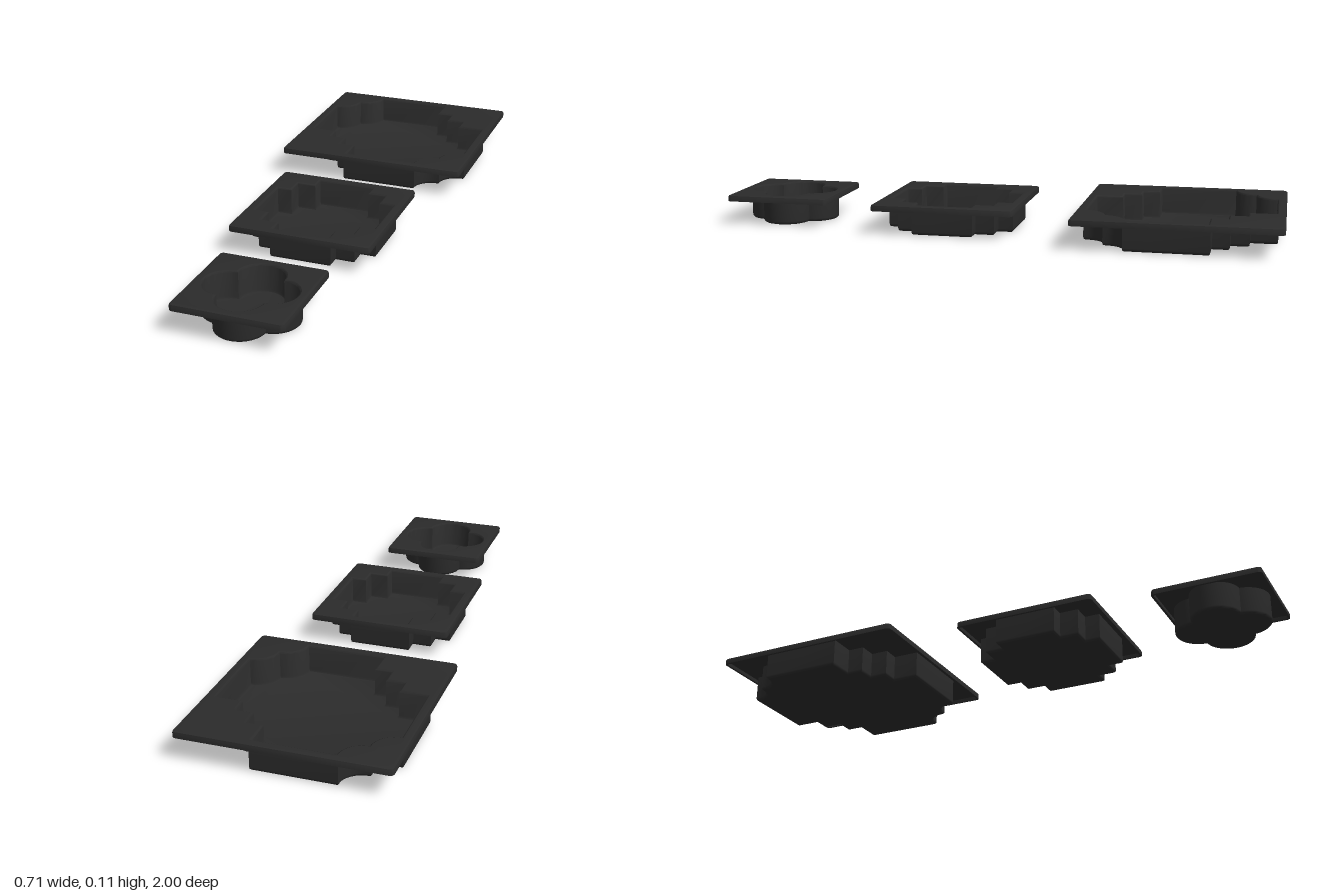
import * as THREE from 'three';
import { toCreasedNormals } from 'three/addons/utils/BufferGeometryUtils.js';

const V = (x, y) => new THREE.Vector2(x, y);
const TOP = 0.107, UNDER = 0.098, LIP = 0.085, WALL = 0.008;

// Outlines are counter-clockwise in plan, with plan y = -z
const arc = (cx, cy, r, a0, a1, n) => Array.from({ length: n + 1 }, (_, i) => {
  const a = a0 + (a1 - a0) * i / n;
  return V(cx + r * Math.cos(a), cy + r * Math.sin(a));
});

// Repeat part of an outline n times around the centre
function repeat(points, n) {
  const out = [];
  for (let k = 0; k < n; k++) {
    for (const p of points) out.push(p.clone().rotateAround(V(0, 0), k * Math.PI * 2 / n));
  }
  return out;
}

// Mitred offset, positive outwards
function offset(loop, d) {
  const n = loop.length;
  const normal = (a, b) => V(b.y - a.y, a.x - b.x).normalize();
  return loop.map((p, i) => {
    const n1 = normal(loop[(i + n - 1) % n], p), n2 = normal(p, loop[(i + 1) % n]);
    return p.clone().add(n1.clone().add(n2).multiplyScalar(d / (1 + n1.dot(n2))));
  });
}

// Skin swept round an outline; profile rows are [offset, height]
function skin(out, loop, profile) {
  const rings = profile.map(([d, y]) => offset(loop, d).map(p => [p.x, y, -p.y]));
  for (let r = 0; r + 1 < rings.length; r++) {
    for (let i = 0; i < loop.length; i++) {
      const j = (i + 1) % loop.length;
      const a = rings[r][i], b = rings[r][j], c = rings[r + 1][j], d = rings[r + 1][i];
      out.push(...a, ...b, ...c, ...a, ...c, ...d);
    }
  }
}

// Flat cap, optionally with a hole
function cap(out, loop, hole, y, up) {
  const holes = hole ? [hole.slice().reverse()] : [];
  const pts = loop.concat(...holes);
  for (const [a, b, c] of THREE.ShapeUtils.triangulateShape(loop.slice(), holes)) {
    const ccw = (pts[b].x - pts[a].x) * (pts[c].y - pts[a].y) - (pts[b].y - pts[a].y) * (pts[c].x - pts[a].x) > 0;
    for (const i of ccw === up ? [a, b, c] : [a, c, b]) out.push(pts[i].x, y, -pts[i].y);
  }
}

function mesh(name, positions, material) {
  const g = new THREE.BufferGeometry();
  g.setAttribute('position', new THREE.Float32BufferAttribute(positions, 3));
  const m = new THREE.Mesh(toCreasedNormals(g, 0.7), material);
  m.name = name;
  return m;
}

function makeTray(name, half, outline, z, material) {
  const tray = new THREE.Group();
  tray.name = name;
  tray.position.z = z;

  // Recessed basin: outside, inside and floor
  const basin = [];
  skin(basin, outline, [[-0.004, 0], [0.003, 0.002], [0.007, 0.006], [WALL, 0.012], [WALL, UNDER]]);
  cap(basin, offset(outline, -0.004), null, 0, false);
  skin(basin, outline, [[0.006, TOP], [0.002, 0.105], [0, 0.101], [0, 0.016], [-0.003, 0.01], [-0.008, 0.008]]);
  cap(basin, offset(outline, -0.008), null, 0.008, true);
  tray.add(mesh('basin', basin, material));

  // Square flange with a turned-down lip
  const r = 0.014, c = half - r;
  const square = repeat(arc(c, c, r, 0, Math.PI / 2, 5), 4);
  const flange = [];
  skin(flange, square, [[-0.008, UNDER], [-0.008, LIP], [0, LIP], [0, 0.1], [-0.002, 0.105], [-0.007, TOP]]);
  cap(flange, offset(square, -0.007), offset(outline, 0.006), TOP, true);
  cap(flange, offset(square, -0.008), offset(outline, WALL), UNDER, false);
  tray.add(mesh('flange', flange, material));
  return tray;
}

export function createModel() {
  const group = new THREE.Group();
  const material = new THREE.MeshStandardMaterial({ color: 0x2b2b2b });
  material.name = 'charcoal plastic';

  // Large basin: two scalloped corners and two stepped corners
  const h = 0.322, s = 0.245, r = h - s;
  const large = repeat([
    ...arc(s, -h, r, Math.PI, Math.PI / 2, 10),
    ...arc(h, -s, r, Math.PI, Math.PI / 2, 10).slice(1),
    V(h, 0.107), V(0.226, 0.107), V(0.226, 0.166), V(0.162, 0.166),
    V(0.162, 0.229), V(0.103, 0.229), V(0.103, h),
  ], 2);

  // Medium basin: four stepped corners
  const medium = repeat([
    V(0.221, 0.101), V(0.168, 0.101), V(0.168, 0.168), V(0.103, 0.168), V(0.103, 0.221),
  ], 4);

  // Small basin: four round lobes
  const small = repeat(arc(0.079, 0, 0.079, -Math.PI / 2, Math.PI / 2, 20).slice(0, -1), 4);

  group.add(
    makeTray('largeTray', 0.355, large, -0.645, material),
    makeTray('mediumTray', 0.255, medium, 0.177, material),
    makeTray('smallTray', 0.19, small, 0.81, material),
  );
  return group;
}
